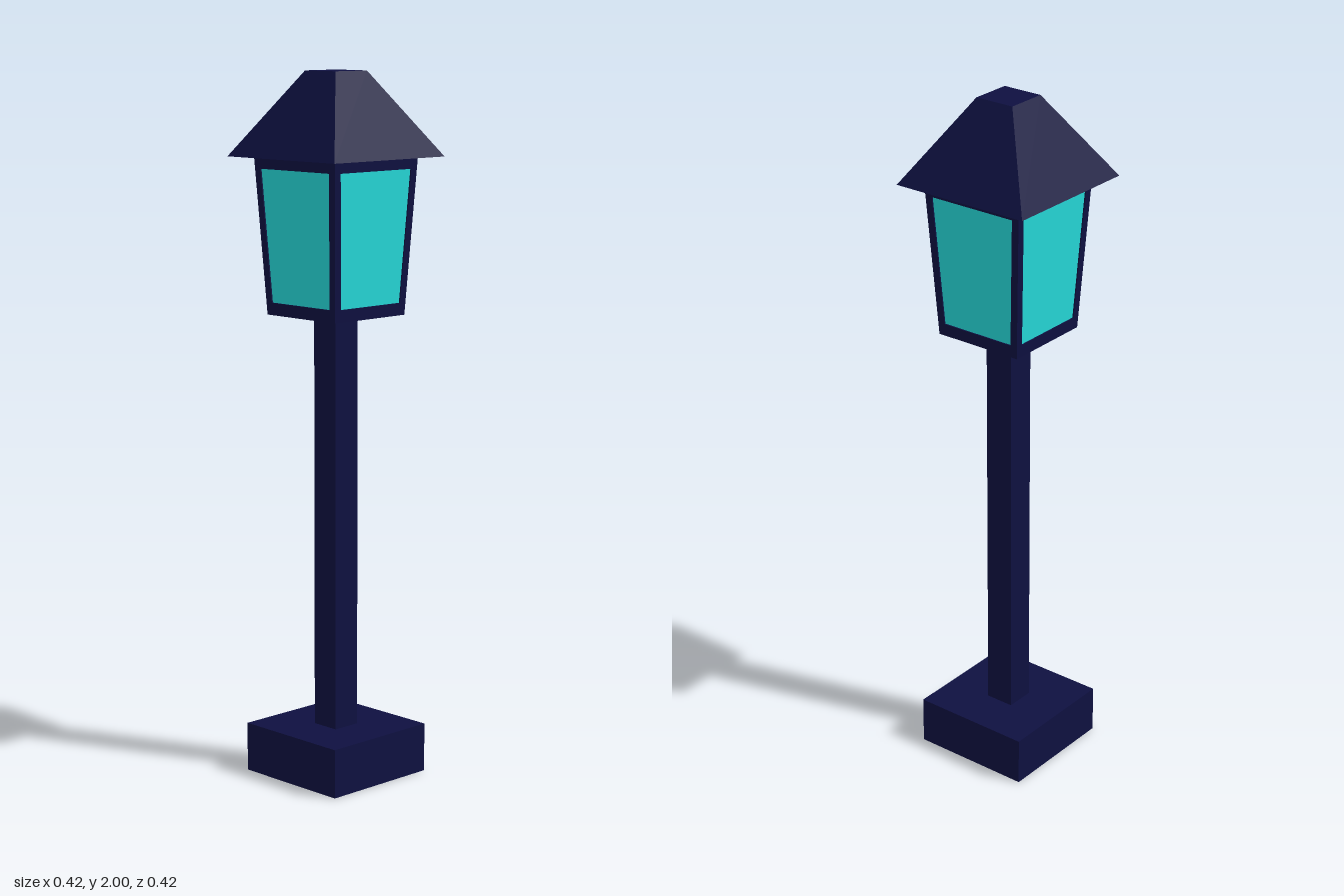
import * as THREE from 'three';

const navy = new THREE.MeshStandardMaterial({ color: 0x0e1040 });
const cyan = new THREE.MeshStandardMaterial({ color: 0x26d9d9 });

// Square section from y0 to y1; half width and centre offset may change on the way up
function squarePart(name, material, y0, y1, half0, half1 = half0, c0 = [0, 0], c1 = c0) {
  const geometry = new THREE.BoxGeometry(2, 2, 2);
  const p = geometry.attributes.position;
  for (let i = 0; i < p.count; i++) {
    const top = p.getY(i) > 0;
    const half = top ? half1 : half0;
    const c = top ? c1 : c0;
    p.setXYZ(i, p.getX(i) * half + c[0], top ? y1 : y0, p.getZ(i) * half + c[1]);
  }
  geometry.computeVertexNormals();
  const mesh = new THREE.Mesh(geometry, material);
  mesh.name = name;
  return mesh;
}

export function createModel() {
  const model = new THREE.Group();
  model.name = 'lampPost';

  model.add(squarePart('base', navy, 0, 0.14, 0.18));
  model.add(squarePart('pole', navy, 0.14, 1.325, 0.043));

  // Lantern, widening towards the roof
  const bottom = 1.325, glassBottom = 1.36, glassTop = 1.732, top = 1.765;
  const halfAt = (y) => 0.135 + ((y - bottom) / (top - bottom)) * 0.025;
  const lantern = new THREE.Group();
  lantern.name = 'lantern';
  lantern.add(squarePart('lowerRim', navy, bottom, glassBottom, halfAt(bottom), halfAt(glassBottom)));
  lantern.add(squarePart('upperRim', navy, glassTop, top, halfAt(glassTop), halfAt(top)));

  // Glass set slightly behind the frame
  const inset = 0.004;
  lantern.add(squarePart('glass', cyan, glassBottom, glassTop, halfAt(glassBottom) - inset, halfAt(glassTop) - inset));

  // Leaning corner posts
  const post = 0.011;
  for (const sx of [-1, 1]) {
    for (const sz of [-1, 1]) {
      const centre = (y) => [sx * (halfAt(y) - post), sz * (halfAt(y) - post)];
      lantern.add(squarePart('cornerPost', navy, glassBottom, glassTop, post, post, centre(glassBottom), centre(glassTop)));
    }
  }
  model.add(lantern);

  model.add(squarePart('roof', navy, top, 2, 0.212, 0.06));
  return model;
}
